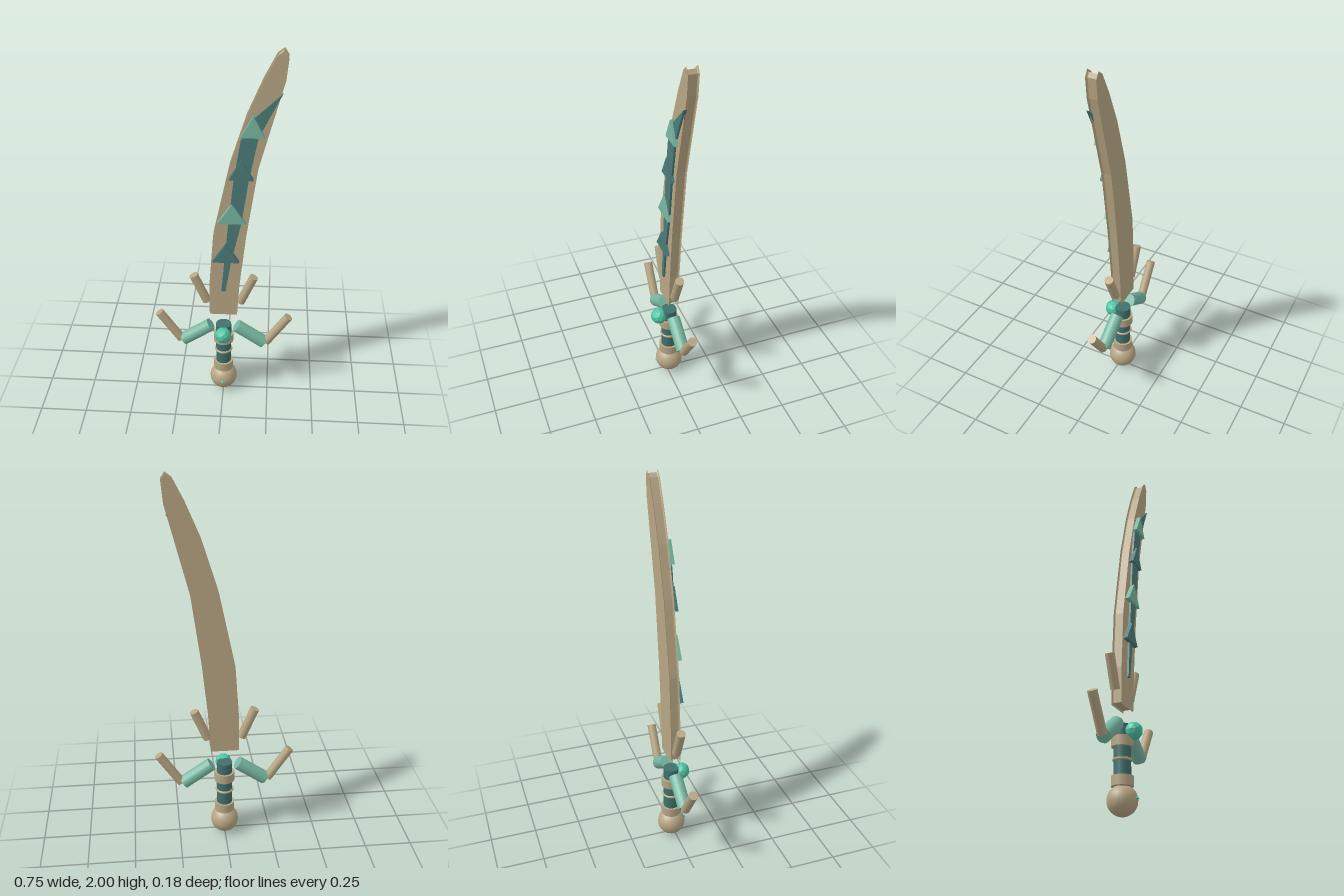
import * as THREE from 'three';

const mat = (color, flatShading = false) => new THREE.MeshStandardMaterial({ color, flatShading });
const TAN = mat(0xb8a684), TAN_FLAT = mat(0xb8a684, true);
const DARK = mat(0x3f716e), DARK_FLAT = mat(0x4b7c78, true);
const LIGHT = mat(0x78b8a2), LIGHT_FLAT = mat(0x78b8a2, true), GEM = mat(0x4cc4a2, true);
const Z = -0.015; // middle plane of the sword

export function createModel() {
  const root = new THREE.Group();

  const add = (name, geometry, material, x = 0, y = 0, z = Z) => {
    const mesh = new THREE.Mesh(geometry, material);
    mesh.name = name;
    mesh.position.set(x, y, z);
    root.add(mesh);
    return mesh;
  };

  // Flat plate from an outline, from z0 to z1
  const plate = (name, points, z0, z1, material) => {
    const shape = new THREE.Shape(points.map(([x, y]) => new THREE.Vector2(x, y)));
    return add(name, new THREE.ExtrudeGeometry(shape, { depth: z1 - z0, bevelEnabled: false }), material, 0, 0, z0);
  };

  // Straight round bar between two points in the middle plane
  const bar = (name, [x0, y0], [x1, y1], r, material) => {
    const length = Math.hypot(x1 - x0, y1 - y0);
    const mesh = add(name, new THREE.CylinderGeometry(r, r, length, 16), material, (x0 + x1) / 2, (y0 + y1) / 2);
    mesh.rotation.z = Math.atan2(y1 - y0, x1 - x0) - Math.PI / 2;
  };

  // Curved blade, its edge sunk in between the two faces
  const outline = [
    [-0.074, 0.524], [0.074, 0.524], [0.085, 0.72], [0.116, 1.02], [0.17, 1.41], [0.265, 1.78],
    [0.286, 1.86], [0.296, 1.968], [0.275, 2.0], [0.243, 1.975], [0.185, 1.86], [0.11, 1.68],
    [0.03, 1.42], [-0.053, 1.02], [-0.074, 0.72],
  ].map(([x, y]) => new THREE.Vector2(x, y));
  const bladeGeometry = new THREE.ExtrudeGeometry(new THREE.Shape(outline), {
    depth: 0.041, bevelEnabled: true, bevelThickness: 0.006, bevelSize: -0.011, bevelSegments: 2,
  });
  add('blade', bladeGeometry, TAN_FLAT, 0, 0, Z - 0.0205);

  // Inlay on the front of the blade
  plate('bladeInlay', [
    [-0.01, 0.683], [0.012, 0.683], [0.04, 0.87], [0.09, 1.1], [0.125, 1.35], [0.168, 1.58],
    [0.275, 1.8], [0.15, 1.68], [0.083, 1.56], [0.05, 1.35], [0.025, 1.1], [0.005, 0.87],
  ], 0.005, 0.022, DARK_FLAT);

  // Triangles along the inlay: centre x, base y, half width
  [[0.013, 0.873, 0.07], [0.042, 1.107, 0.072], [0.087, 1.354, 0.061], [0.14, 1.58, 0.058]]
    .forEach(([x, y, w], i) => {
      plate('bladeTriangle', [[x - w, y], [x + w, y], [x, y + 0.11]], 0.008, 0.034,
        i % 2 ? LIGHT_FLAT : DARK_FLAT);
    });

  // Guard arms and spikes on both sides
  for (const s of [1, -1]) {
    const side = s > 0 ? 'left' : 'right';
    bar(side + 'GuardArm', [s * 0.071, 0.43], [s * 0.222, 0.325], 0.036, LIGHT);
    bar(side + 'GuardSpike', [s * 0.236, 0.328], [s * 0.353, 0.503], 0.024, TAN);
    bar(side + 'BladeSpike', [s * 0.09, 0.593], [s * 0.16, 0.757], 0.024, TAN);
  }

  // Grip with collars and a thin ring
  add('grip', new THREE.CylinderGeometry(0.042, 0.042, 0.31, 20), DARK, 0, 0.285);
  add('lowerCollar', new THREE.CylinderGeometry(0.054, 0.054, 0.05, 20), TAN, 0, 0.165);
  add('upperCollar', new THREE.CylinderGeometry(0.054, 0.054, 0.05, 20), TAN, 0, 0.355);
  add('gripRing', new THREE.TorusGeometry(0.042, 0.007, 8, 24), TAN, 0, 0.268).rotation.x = Math.PI / 2;

  // Pommel and gems
  add('pommel', new THREE.SphereGeometry(0.075, 24, 16), TAN, 0, 0.075);
  add('pommelGem', new THREE.OctahedronGeometry(0.023), GEM, 0, 0.08, 0.048);
  add('guardGem', new THREE.IcosahedronGeometry(0.045, 1), GEM, 0, 0.405, 0.044);

  return root;
}
